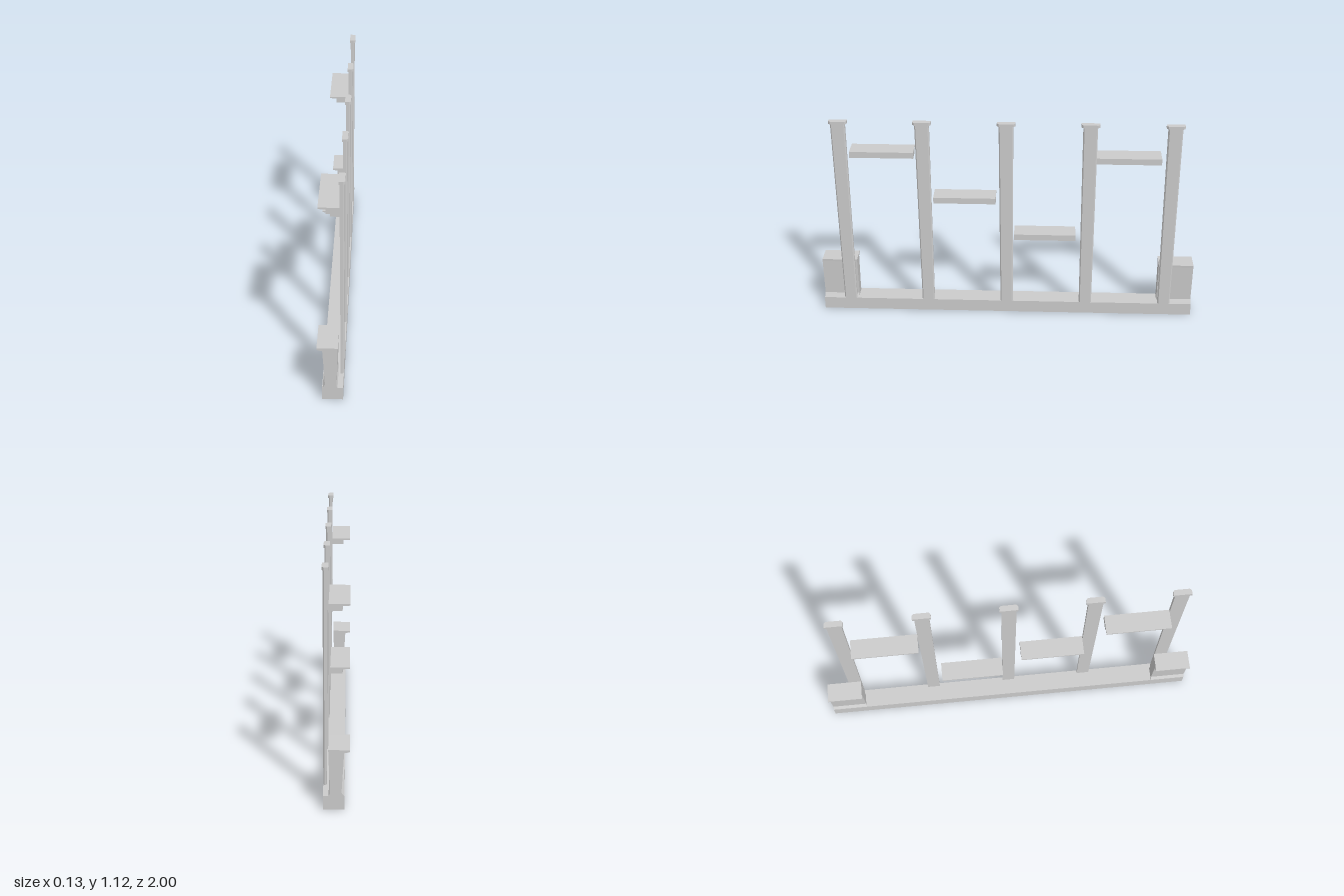
import * as THREE from 'three';

const material = new THREE.MeshStandardMaterial({ color: 0xcccccc, flatShading: true });

function shapeOf(points) {
  return new THREE.Shape(points.map(([x, y]) => new THREE.Vector2(x, y)));
}

function addMesh(group, name, geometry) {
  const mesh = new THREE.Mesh(geometry, material);
  mesh.name = name;
  group.add(mesh);
  return mesh;
}

// Extrude an x/y profile along z, from z0 to z1
function alongZ(points, z0, z1) {
  return new THREE.ExtrudeGeometry(shapeOf(points), { depth: z1 - z0, bevelEnabled: false }).translate(0, 0, z0);
}

// Upright slab with chamfered corners on its outer (+x) side
function chamferedSlab(x0, x1, z0, z1, y0, y1, c) {
  const section = [[x0, -z1], [x1 - c, -z1], [x1, -z1 + c], [x1, -z0 - c], [x1 - c, -z0], [x0, -z0]];
  return new THREE.ExtrudeGeometry(shapeOf(section), { depth: y1 - y0, bevelEnabled: false })
    .rotateX(-Math.PI / 2)
    .translate(0, y0, 0);
}

// Slightly narrower at the foot: the inner face and the front edge lean in
function taperFoot(geometry, xInner) {
  const p = geometry.attributes.position;
  for (let i = 0; i < p.count; i++) {
    if (p.getY(i) > 0.5) continue;
    if (p.getX(i) < xInner + 0.001) p.setX(i, p.getX(i) + 0.006);
    if (p.getZ(i) > 0) p.setZ(i, p.getZ(i) - 0.007);
  }
  geometry.computeVertexNormals();
  return geometry;
}

export function createModel() {
  const model = new THREE.Group();
  model.name = 'shelvingFrame';
  const baseTop = 0.068;

  // Long plinth
  addMesh(model, 'base', new THREE.BoxGeometry(0.1, baseTop, 2).translate(0.01, baseTop / 2, 0));

  // Five posts with caps
  for (let i = 0; i < 5; i++) {
    const post = new THREE.Group();
    post.name = 'post';
    addMesh(post, 'postShaft', taperFoot(chamferedSlab(0.038, 0.06, -0.036, 0.038, baseTop - 0.002, 1.108, 0.006), 0.038));
    addMesh(post, 'postCap', chamferedSlab(0.034, 0.064, -0.046, 0.047, 1.107, 1.122, 0.009));
    post.position.z = 0.857 - i * 0.4265;
    model.add(post);
  }

  // Shelves: a thin overhanging board on a thicker bearer
  const shelves = [
    [0.483, 0.813, 0.941],
    [0.06, 0.387, 0.683],
    [-0.363, -0.037, 0.47],
    [-0.793, -0.457, 0.925],
  ];
  for (const [z0, z1, top] of shelves) {
    const profile = [
      [-0.065, top], [-0.065, top - 0.008], [-0.028, top - 0.01],
      [-0.028, top - 0.033], [0.035, top - 0.033], [0.035, top],
    ];
    addMesh(model, 'shelf', alongZ(profile, z0, z1));
  }

  // End pedestals: flared foot, widening body, overhanging top
  const pedestal = [
    [-0.038, baseTop - 0.001], [0.034, baseTop - 0.001], [0.028, 0.08], [0.034, 0.283], [0.035, 0.296],
    [-0.065, 0.294], [-0.065, 0.286], [-0.058, 0.284], [-0.038, 0.28], [-0.026, 0.083],
  ].reverse();
  addMesh(model, 'frontPedestal', alongZ(pedestal, 0.812, 1));
  addMesh(model, 'backPedestal', alongZ(pedestal, -1, -0.815));

  return model;
}
